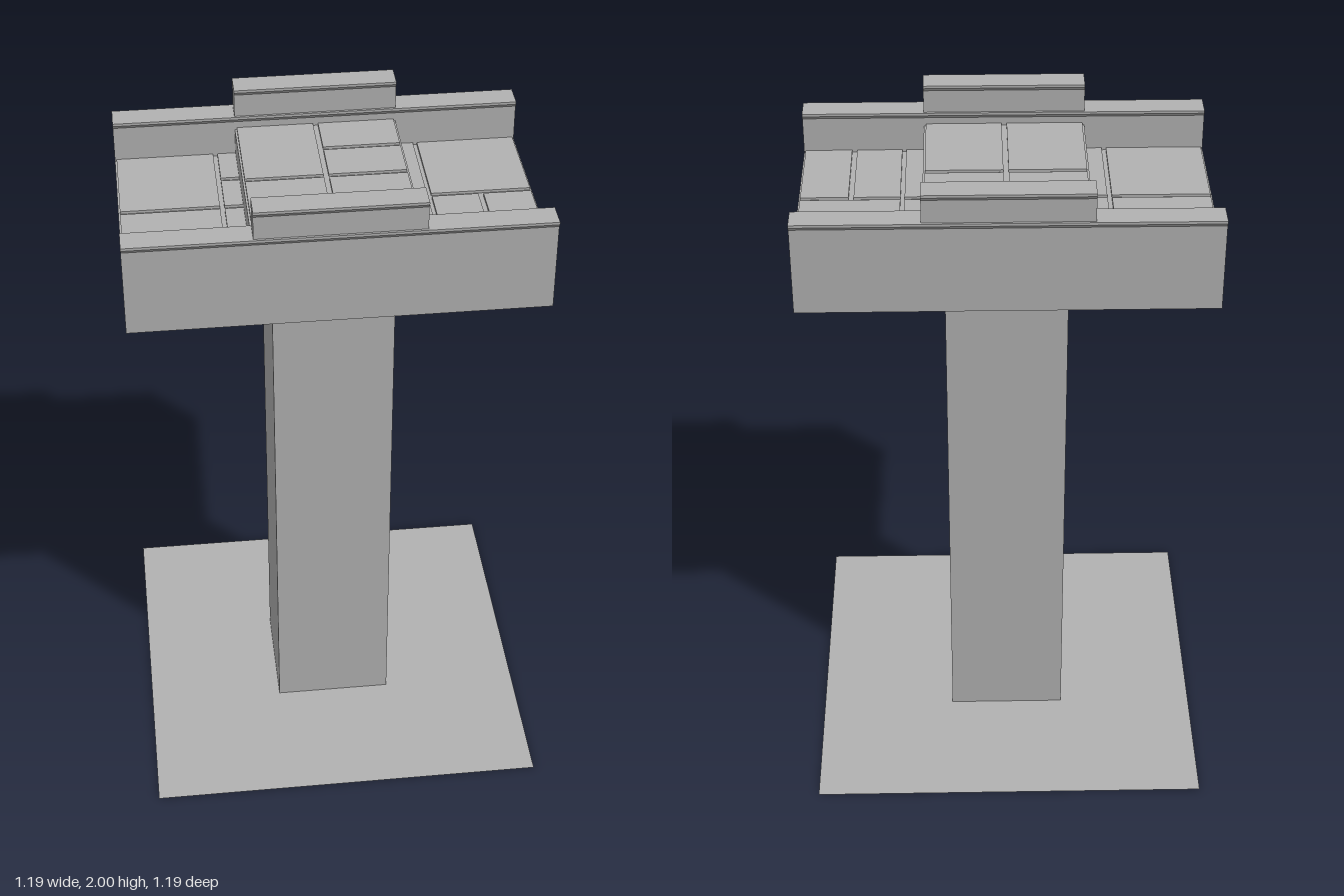
import * as THREE from 'three';

const stone = new THREE.MeshStandardMaterial({ color: 0xb2b2b2 });
stone.name = 'grey stone';
const stoneSheet = new THREE.MeshStandardMaterial({ color: 0xb2b2b2, side: THREE.DoubleSide });
stoneSheet.name = 'grey stone sheet';

const LOW = 1.79, HIGH = 1.875;   // walking levels
const GROOVE = 0.008;             // joint depth between paving slabs
const IN = 0.3, OUT = 0.363, LIP = 0.007;
const X0 = -0.597, X1 = 0.597;    // deck ends
const B0 = -0.24, B1 = 0.237;     // raised middle

export function createModel() {
  const model = new THREE.Group();
  model.name = 'bridgeSegment';

  const add = (name, geometry, material = stone) => {
    const mesh = new THREE.Mesh(geometry, material);
    mesh.name = name;
    model.add(mesh);
    return mesh;
  };
  const box = (name, x0, x1, y0, y1, z0, z1) =>
    add(name, new THREE.BoxGeometry(x1 - x0, y1 - y0, z1 - z0))
      .position.set((x0 + x1) / 2, (y0 + y1) / 2, (z0 + z1) / 2);

  // Extrude a (z, y) cross-section along x
  const alongX = (name, points, x0, x1) => {
    const shape = new THREE.Shape(points.map(([z, y]) => new THREE.Vector2(-z, y)));
    const g = new THREE.ExtrudeGeometry(shape, { depth: x1 - x0, bevelEnabled: false });
    g.rotateY(Math.PI / 2);
    g.translate(x0, 0, 0);
    add(name, g);
  };

  // Flared wall cap from outer to inner face, on the +z side
  const cap = top => [
    [OUT, top - 0.018], [OUT + LIP, top - 0.008], [OUT + LIP, top],
    [IN - LIP, top], [IN - LIP, top - 0.008], [IN, top - 0.018],
  ];
  const mirror = pts => pts.map(([z, y]) => [-z, y]).reverse();

  // Ground sheet and pillar
  const ground = new THREE.PlaneGeometry(1.194, 1.194);
  ground.rotateX(-Math.PI / 2);
  add('groundSheet', ground, stoneSheet);
  box('pillar', -0.178, 0.178, 0, 1.64, -0.178, 0.178);

  // Trough-shaped deck with both low parapets
  const half = [[OUT, 1.63], ...cap(1.912), [IN, LOW - GROOVE]];
  alongX('deckAndParapets', [...half, ...mirror(half)], X0, X1);

  // Taller middle parapets
  const upper = [[OUT, 1.905], ...cap(2), [IN, 1.905]];
  alongX('leftMiddleParapet', upper, B0, B1);
  alongX('rightMiddleParapet', mirror(upper), B0, B1);

  // Raised middle of the walkway
  box('raisedWalkway', B0, B1, LOW - 0.02, HIGH - GROOVE, -IN, IN);

  // Paving slabs: [x0, x1, z0, z1, level]
  const back = [-0.298, -0.009], front = [0.006, 0.298];
  const backA = [-0.298, -0.16], backB = [-0.145, -0.009];
  const slabs = [
    [-0.592, -0.307, back, LOW], [-0.592, -0.307, front, LOW],
    [-0.294, B0, backA, LOW], [-0.294, B0, backB, LOW], [-0.294, B0, front, LOW],
    [-0.234, -0.009, back, HIGH], [-0.234, -0.009, front, HIGH],
    [0.006, 0.231, backA, HIGH], [0.006, 0.231, backB, HIGH], [0.006, 0.231, front, HIGH],
    [B1, 0.291, back, LOW], [B1, 0.291, front, LOW],
    [0.303, 0.592, back, LOW],
    [0.303, 0.438, front, LOW], [0.453, 0.592, front, LOW],
  ];
  slabs.forEach(([x0, x1, [z0, z1], top]) =>
    box('pavingSlab', x0, x1, top - GROOVE - 0.001, top, z0, z1));

  return model;
}
